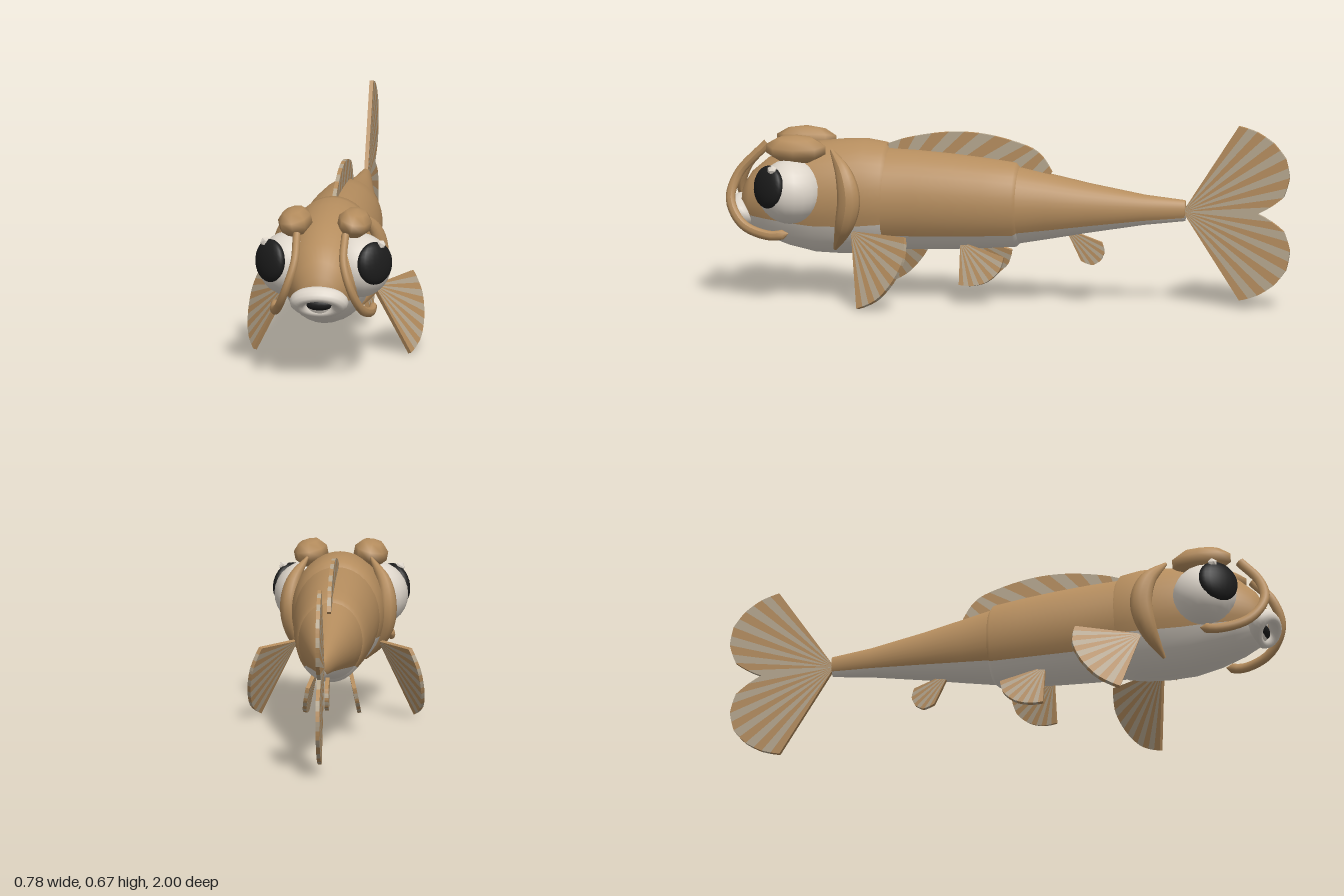
import * as THREE from 'three';
import { mergeGeometries } from 'three/addons/utils/BufferGeometryUtils.js';

const mat = (name, color, side = THREE.FrontSide) => {
  const m = new THREE.MeshStandardMaterial({ color, side });
  m.name = name;
  return m;
};
const V = (x, y, z) => new THREE.Vector3(x, y, z);

export function createModel() {
  const tan = mat('tan skin', 0xb58d5e);
  const white = mat('pale belly', 0xddd5ca);
  const stripe = mat('fin stripe', 0xb5a68e);
  const black = mat('pupil black', 0x1c1c1c);

  const model = new THREE.Group();
  model.name = 'fish';
  const fish = new THREE.Group();
  fish.name = 'fishBody';
  fish.rotation.y = THREE.MathUtils.degToRad(17);
  fish.position.x = -0.086;
  model.add(fish);

  const add = (name, geo, material, pos) => {
    const m = new THREE.Mesh(geo, material);
    m.name = name;
    if (pos) m.position.copy(pos);
    fish.add(m);
    return m;
  };

  // Skin strip through elliptical sections [z, top, bottom, halfWidth], between two angles
  const patch = (sections, a0, a1, n) => {
    const pos = [], idx = [];
    sections.forEach(([z, top, bot, w], i) => {
      for (let j = 0; j <= n; j++) {
        const a = THREE.MathUtils.degToRad(a0 + ((a1 - a0) * j) / n);
        pos.push(w * Math.cos(a), (top + bot) / 2 + ((top - bot) / 2) * Math.sin(a), z);
        if (i < sections.length - 1 && j < n) {
          const p = i * (n + 1) + j, q = p + n + 1;
          idx.push(p, p + 1, q, p + 1, q + 1, q);
        }
      }
    });
    const g = new THREE.BufferGeometry();
    g.setAttribute('position', new THREE.Float32BufferAttribute(pos, 3));
    g.setIndex(idx);
    g.computeVertexNormals();
    return g;
  };
  const hull = (name, sections, low) => {
    add(name + 'Back', patch(sections, -low, 180 + low, 24), tan);
    add(name + 'Belly', patch(sections, 180 + low, 360 - low, 12), white);
  };

  // Head, trunk and tail stalk
  hull('head', [
    [0.425, 0.53, 0.2, 0.14], [0.45, 0.565, 0.172, 0.158], [0.52, 0.576, 0.16, 0.167],
    [0.6, 0.573, 0.155, 0.171], [0.7, 0.562, 0.158, 0.167], [0.8, 0.537, 0.18, 0.152],
    [0.88, 0.497, 0.208, 0.127], [0.94, 0.445, 0.237, 0.094], [0.97, 0.395, 0.262, 0.06],
    [0.98, 0.33, 0.325, 0.001],
  ], 25);
  hull('trunk', [
    [-0.045, 0.488, 0.212, 0.113], [-0.03, 0.507, 0.198, 0.126], [0.08, 0.521, 0.19, 0.136],
    [0.2, 0.533, 0.183, 0.145], [0.33, 0.542, 0.178, 0.151], [0.47, 0.547, 0.176, 0.155],
  ], 40);
  hull('tailStalk', [
    [-0.65, 0.348, 0.346, 0.001], [-0.648, 0.387, 0.31, 0.022], [-0.5, 0.402, 0.292, 0.043],
    [-0.3, 0.437, 0.258, 0.075], [-0.15, 0.468, 0.23, 0.1], [0, 0.5, 0.203, 0.122],
  ], 40);

  // Striped plate in the xy plane: strips between an inner and an outer curve
  const stripedPlate = (name, inner, outer, n, thick, matrix) => {
    const sets = [[], []];
    for (let i = 0; i < n; i++) {
      const t0 = i / n, t1 = (i + 1) / n, tm = (t0 + t1) / 2;
      const shape = new THREE.Shape([inner(t0), outer(t0), outer(tm), outer(t1), inner(t1)]);
      const g = new THREE.ExtrudeGeometry(shape, { depth: thick, bevelEnabled: false });
      g.translate(0, 0, -thick / 2);
      sets[i % 2].push(g.applyMatrix4(matrix));
    }
    add(name, mergeGeometries(sets[0]), tan);
    add(name + 'Stripes', mergeGeometries(sets[1]), stripe);
  };

  // Fan fin swinging from direction a to direction b around a root
  const fan = (name, root, a, b, radii, n, thick = 0.014) => {
    const e1 = a.clone().normalize();
    const e2 = b.clone().addScaledVector(e1, -b.dot(e1)).normalize();
    const angle = a.angleTo(b);
    const matrix = new THREE.Matrix4()
      .makeBasis(e1, e2, e1.clone().cross(e2)).setPosition(root);
    const polar = (r, t) => new THREE.Vector2(r * Math.cos(t * angle), r * Math.sin(t * angle));
    const radius = (t) => {
      const f = t * (radii.length - 1), i = Math.min(Math.floor(f), radii.length - 2);
      return THREE.MathUtils.lerp(radii[i], radii[i + 1], f - i);
    };
    stripedPlate(name, (t) => polar(0.008, t), (t) => polar(radius(t), t), n, thick, matrix);
  };

  // Tail fin lobes
  const lobe = [0.38, 0.405, 0.423, 0.43, 0.415, 0.375, 0.275];
  for (const [name, k] of [['tailFinUpper', 1], ['tailFinLower', -1]]) {
    fan(name, V(0, 0.345, -0.64), V(0, 0.32 * k, -0.207), V(0, 0, -1), lobe, 12);
  }

  // Dorsal fin, turned so that its length runs along z
  const base = new THREE.SplineCurve([[0.46, 0.53], [0.2, 0.51], [-0.14, 0.45]]
    .map((p) => new THREE.Vector2(...p)));
  const crest = new THREE.SplineCurve([
    [0.47, 0.55], [0.37, 0.585], [0.22, 0.61], [0.08, 0.605], [-0.06, 0.57], [-0.12, 0.535], [-0.16, 0.475],
  ].map((p) => new THREE.Vector2(...p)));
  stripedPlate('dorsalFin', (t) => base.getPoint(t), (t) => crest.getPoint(t), 15, 0.014,
    new THREE.Matrix4().makeRotationY(-Math.PI / 2));

  // Anal fin
  fan('analFin', V(0, 0.27, -0.21), V(0, -0.145, -0.07), V(0, -0.05, -0.14),
    [0.13, 0.165, 0.172, 0.165, 0.14], 9);

  // Tube that can taper: radius follows the given rule
  const tube = (pts, r, rule) => {
    const path = new THREE.CatmullRomCurve3(pts), n = 24, sides = 10;
    const g = new THREE.TubeGeometry(path, n, r, sides);
    const p = g.attributes.position, v = V(0, 0, 0);
    for (let i = 0; i < p.count; i++) {
      const t = Math.floor(i / (sides + 1)) / n, c = path.getPointAt(t);
      v.fromBufferAttribute(p, i).sub(c).multiplyScalar(rule(t));
      v.x *= 0.8;
      v.add(c);
      p.setXYZ(i, v.x, v.y, v.z);
    }
    g.computeVertexNormals();
    return g;
  };

  // Paired parts
  for (const [side, k] of [['left', 1], ['right', -1]]) {
    fan(side + 'PectoralFin', V(0.152 * k, 0.26, 0.548), V(0.129 * k, -0.26, -0.044),
      V(0.118 * k, 0.005, -0.215), [0.293, 0.297, 0.287, 0.275, 0.247], 13);
    fan(side + 'PelvicFin', V(0.06 * k, 0.22, 0.165), V(0.032 * k, -0.152, 0),
      V(0.025 * k, -0.05, -0.165), [0.157, 0.168, 0.178, 0.182, 0.172], 11);

    // Eye with pupil and glint
    add(side + 'Eye', new THREE.SphereGeometry(0.117, 20, 14), white, V(0.125 * k, 0.395, 0.78));
    const pupil = add(side + 'Pupil', new THREE.SphereGeometry(0.078, 20, 14), black,
      V(0.19 * k, 0.42, 0.847));
    pupil.scale.z = 0.42;
    pupil.rotation.set(-0.12, k * 0.82, 0, 'YXZ');
    add(side + 'EyeGlint', new THREE.IcosahedronGeometry(0.019, 0), white, V(0.21 * k, 0.485, 0.83));

    // Brow lump
    const brow = add(side + 'Brow', new THREE.SphereGeometry(1, 8, 5), tan, V(0.108 * k, 0.548, 0.762));
    brow.scale.set(0.064, 0.051, 0.115);
    brow.rotation.z = -0.2 * k;

    // Rim curling round the front of the eye, and gill cover behind it
    const rim = [[0.088, 0.535, 0.9], [0.089, 0.45, 0.975], [0.116, 0.36, 1.0], [0.15, 0.275, 0.95],
      [0.177, 0.24, 0.845], [0.179, 0.25, 0.776]];
    add(side + 'EyeRim', tube(rim.map(([x, y, z]) => V(x * k, y, z)), 0.018,
      (t) => (t > 0.98 ? 0.05 : 1)), tan);
    const gill = [[0.115, 0.55, 0.63], [0.165, 0.47, 0.575], [0.178, 0.38, 0.555],
      [0.16, 0.28, 0.575], [0.095, 0.185, 0.62]];
    add(side + 'GillCover', tube(gill.map(([x, y, z]) => V(x * k, y, z)), 0.042,
      (t) => 0.15 + 0.85 * Math.sin(Math.PI * t)), tan);
  }

  // Pouting mouth
  const lips = add('lips', new THREE.TorusGeometry(0.075, 0.032, 12, 28), white, V(0, 0.302, 0.968));
  lips.scale.set(1, 0.62, 1);
  lips.rotation.x = 0.7;
  const mouth = add('mouthInside', new THREE.SphereGeometry(1, 16, 10), black, V(0, 0.292, 0.96));
  mouth.scale.set(0.055, 0.024, 0.026);

  return model;
}
